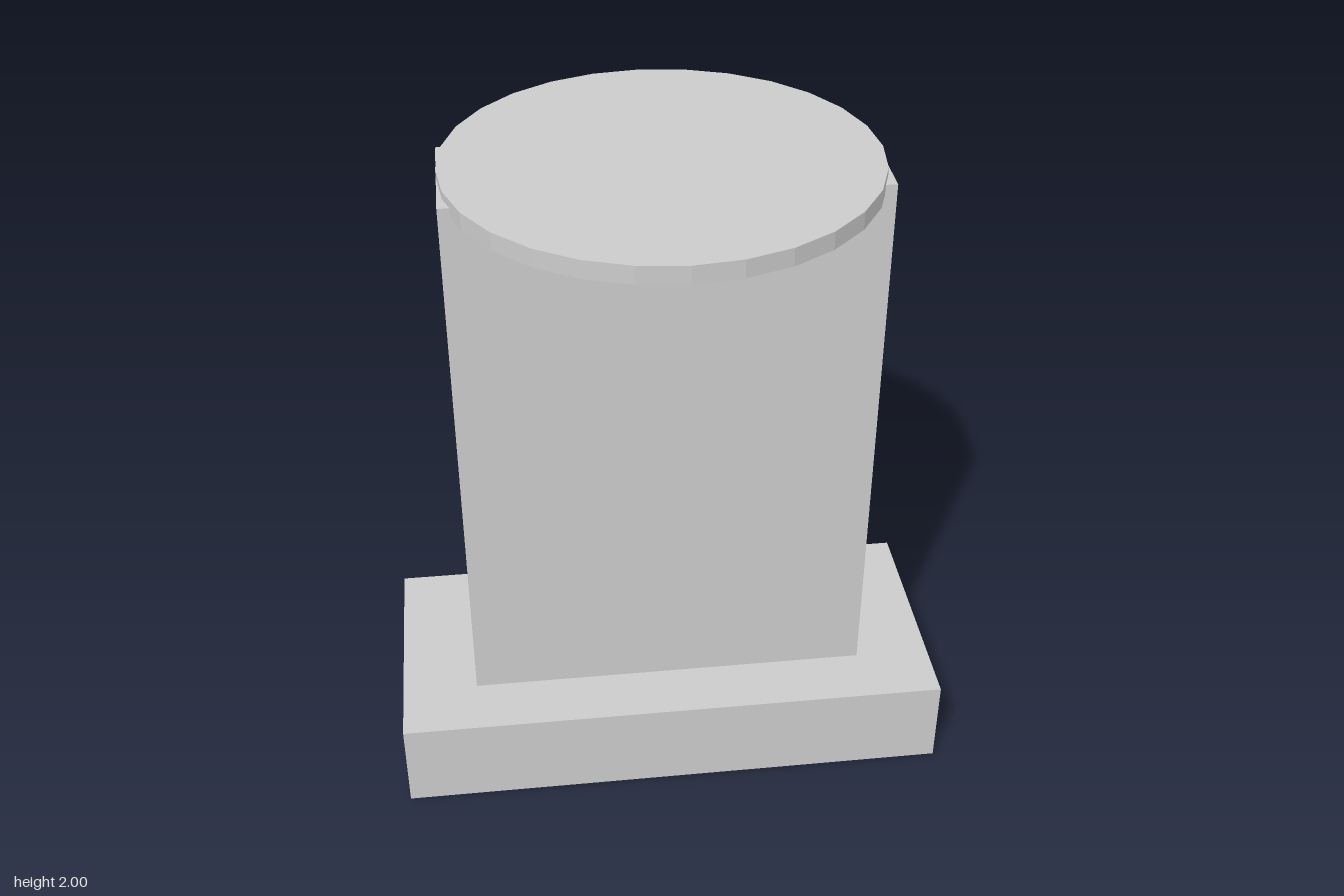
import * as THREE from 'three';

export function createModel() {
  const model = new THREE.Group();
  const material = new THREE.MeshStandardMaterial({ color: 0xcccccc, flatShading: true });

  const add = (name, geometry, x, y, z) => {
    const mesh = new THREE.Mesh(geometry, material);
    mesh.name = name;
    mesh.position.set(x, y, z);
    model.add(mesh);
  };
  // Box given by its size, its bottom height and its centre in x and z
  const addBox = (name, w, h, d, x, bottom, z) =>
    add(name, new THREE.BoxGeometry(w, h, d), x, bottom + h / 2, z);

  // Plinth and upright slab
  addBox('base', 1.7, 0.285, 0.76, 0, 0, 0);
  addBox('slab', 1.234, 1.69, 0.38, 0, 0.285, 0);

  // Thin round cap, set slightly down over the slab
  add('cap', new THREE.CylinderGeometry(0.617, 0.617, 0.053, 28), 0, 1.9735, 0);

  // Three vertical ribs on the back
  for (const x of [-0.41, 0, 0.41]) addBox('backRib', 0.095, 0.762, 0.06, x, 0.738, -0.22);

  return model;
}
